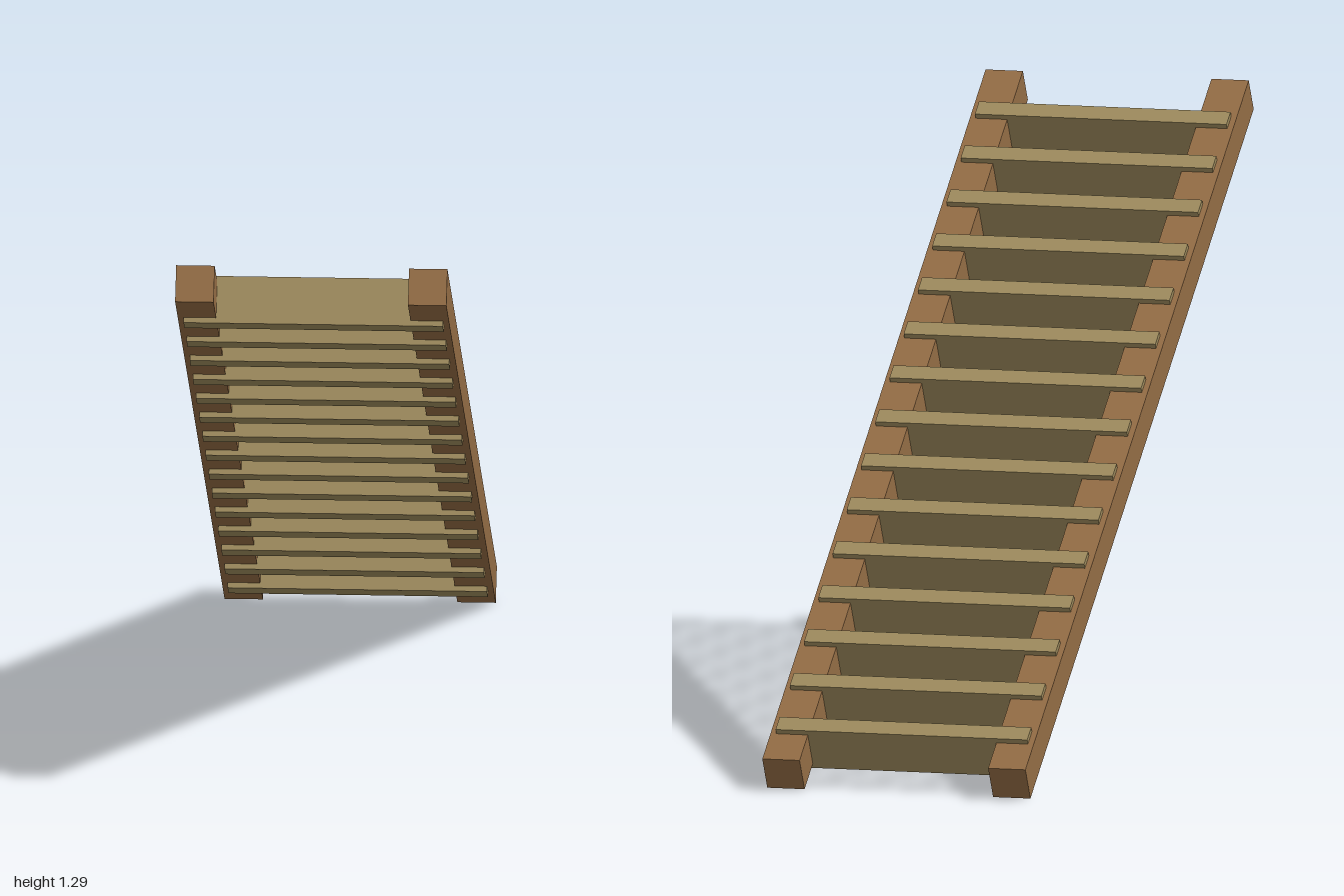
import * as THREE from 'three';

export function createModel() {
  const model = new THREE.Group();
  const railWood = new THREE.MeshStandardMaterial({ name: 'railBrown', color: 0x946d45 });
  const rungWood = new THREE.MeshStandardMaterial({ name: 'rungTan', color: 0x9f8c5e });

  // The ladder is built flat along z, then leaned so its +z end is high
  const ladder = new THREE.Group();
  ladder.name = 'ladder';
  ladder.rotation.x = -Math.atan2(1.215, 1.955);
  ladder.position.y = 0.643;
  model.add(ladder);

  const addBox = (name, size, position, material) => {
    const mesh = new THREE.Mesh(new THREE.BoxGeometry(...size), material);
    mesh.name = name;
    mesh.position.set(...position);
    ladder.add(mesh);
  };

  // Two square side rails
  for (const side of [-1, 1]) {
    addBox(side > 0 ? 'leftRail' : 'rightRail', [0.084, 0.083, 2.302], [side * 0.2545, 0, 0], railWood);
  }

  // Rungs pass through the rails and stand proud above and below
  const count = 15, first = -1.045, last = 1.01;
  for (let i = 0; i < count; i++) {
    const z = first + (last - first) * i / (count - 1);
    addBox('rung' + (i + 1), [0.567, 0.107, 0.042], [0, 0, z], rungWood);
  }
  return model;
}
